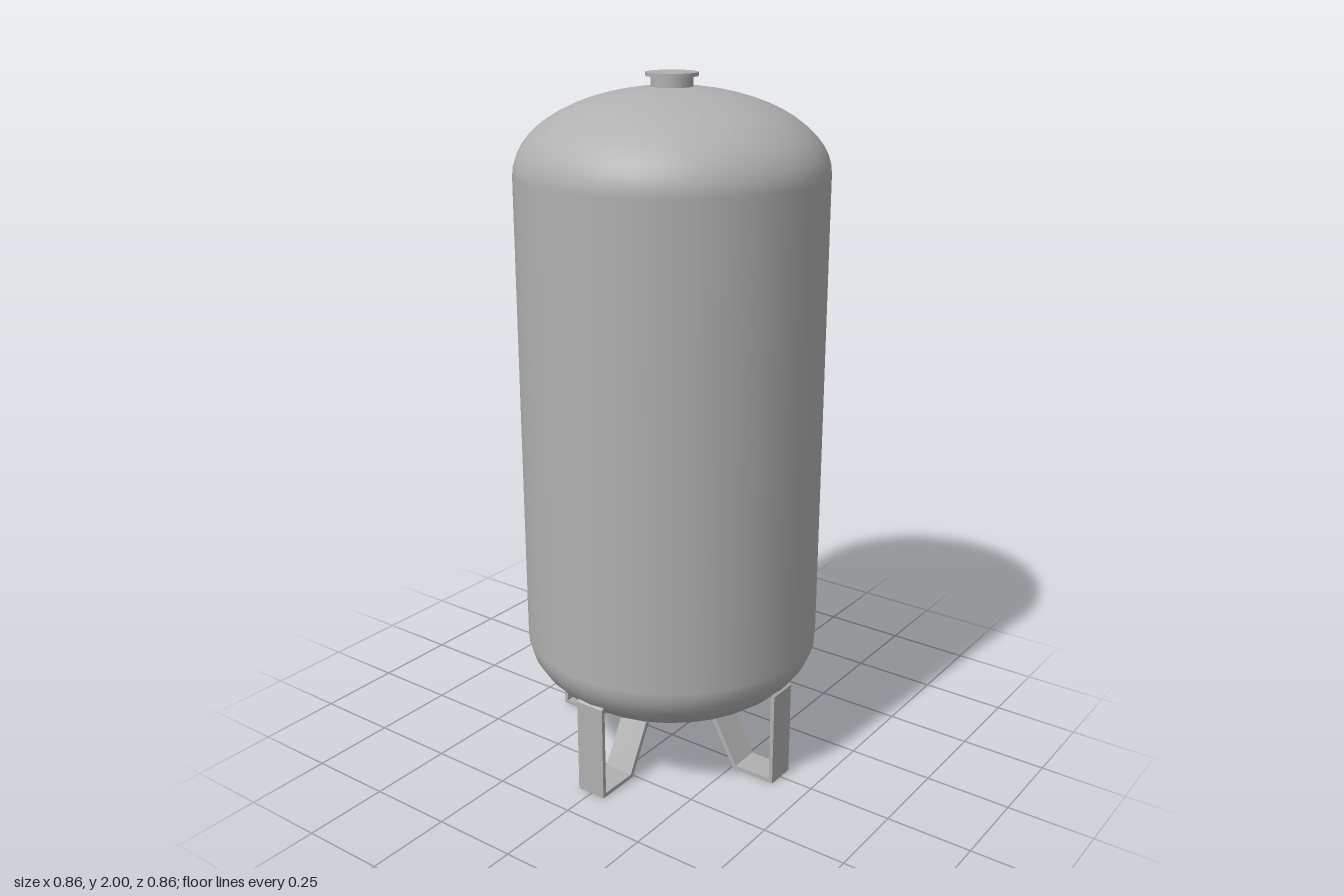
import * as THREE from 'three';

export function createModel() {
  const model = new THREE.Group();
  model.name = 'storageTank';
  const steel = new THREE.MeshStandardMaterial({ color: 0xb0b0b0 });
  steel.name = 'grey steel';

  const add = (geometry, name, parent = model) => {
    const mesh = new THREE.Mesh(geometry, steel);
    mesh.name = name;
    parent.add(mesh);
    return mesh;
  };

  // Vessel: straight wall between two elliptical domes
  const R = 0.43, dome = 0.23, low = 0.385, high = 1.735, steps = 14;
  const profile = [];
  for (let i = 0; i <= steps; i++) {
    const a = (i / steps) * Math.PI / 2;
    profile.push(new THREE.Vector2(R * Math.sin(a), low - dome * Math.cos(a)));
  }
  for (let i = steps; i >= 0; i--) {
    const a = (i / steps) * Math.PI / 2;
    profile.push(new THREE.Vector2(R * Math.sin(a), high + dome * Math.cos(a)));
  }
  add(new THREE.LatheGeometry(profile, 32), 'vessel');

  // Flanged ports at the top and bottom
  const port = (name, faceY, dir) => {
    const group = new THREE.Group();
    group.name = name;
    add(new THREE.CylinderGeometry(0.057, 0.057, 0.05, 20), 'neck', group).position.y = faceY - dir * 0.03;
    add(new THREE.CylinderGeometry(0.071, 0.071, 0.01, 20), 'flange', group).position.y = faceY - dir * 0.005;
    model.add(group);
  };
  port('topPort', 2, 1);
  port('bottomPort', 0.125, -1);

  // Four legs, each a bent strap: upright, foot and inward brace
  const strap = new THREE.Shape([
    [0.395, 0.285], [0.383, 0.295], [0.383, 0.012], [0.267, 0.012],
    [0.17, 0.19], [0.152, 0.19], [0.258, 0], [0.395, 0],
  ].map(([x, y]) => new THREE.Vector2(x, y)));
  const legGeometry = new THREE.ExtrudeGeometry(strap, { depth: 0.09, bevelEnabled: false });
  legGeometry.translate(0, 0, -0.045);
  ['leftLeg', 'backLeg', 'rightLeg', 'frontLeg'].forEach((name, i) => {
    add(legGeometry, name).rotation.y = i * Math.PI / 2;
  });

  return model;
}
